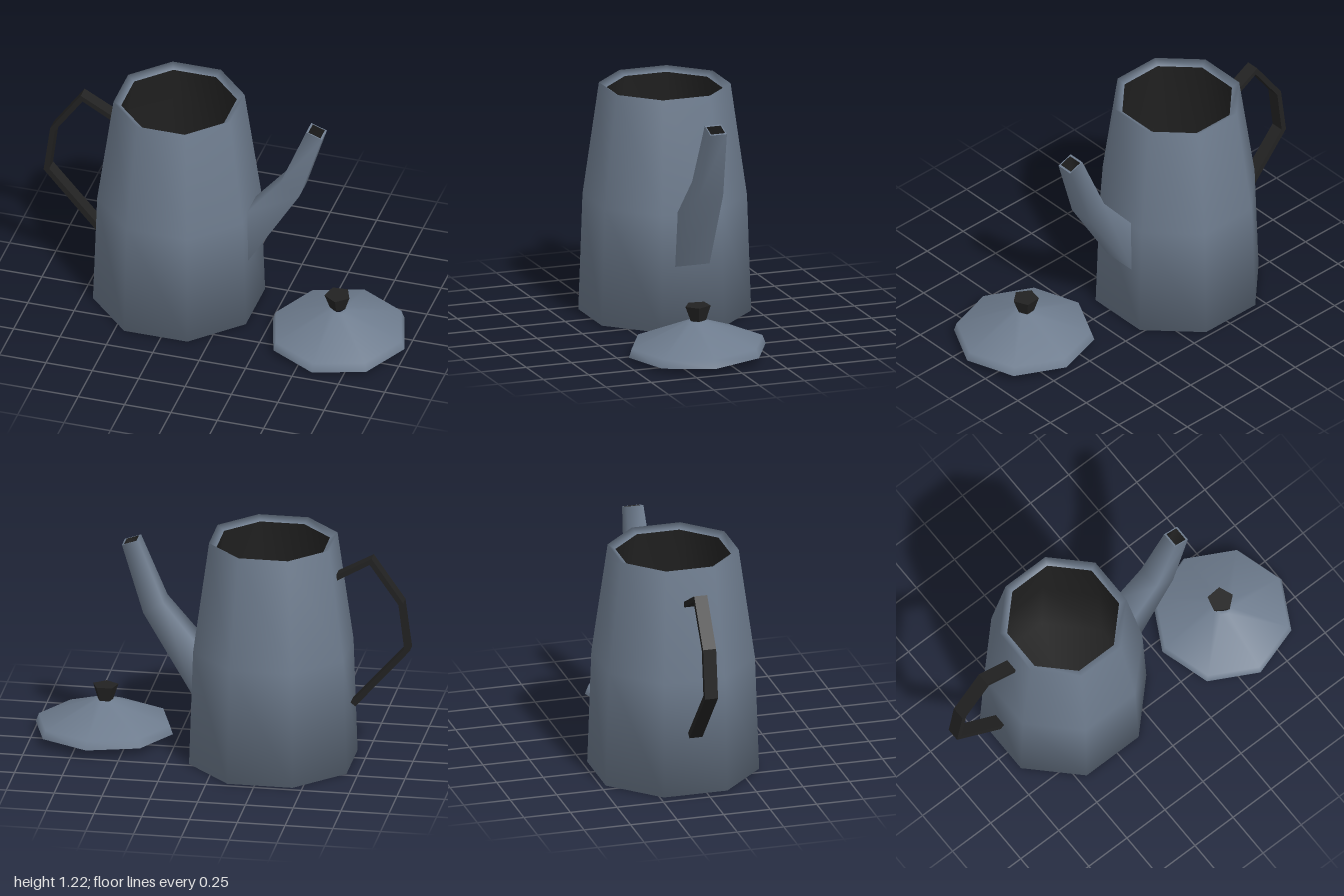
import * as THREE from 'three';

const steel = new THREE.MeshStandardMaterial({ color: 0x6e7c8e });
const steelShell = new THREE.MeshStandardMaterial({ color: 0x6e7c8e, side: THREE.DoubleSide });
const black = new THREE.MeshStandardMaterial({ color: 0x222222 });
const blackFlat = new THREE.MeshStandardMaterial({ color: 0x222222, flatShading: true });

const AXIS_X = -0.279, AXIS_Z = -0.06;

function addMesh(parent, name, geometry, material) {
  const mesh = new THREE.Mesh(geometry, material);
  mesh.name = name;
  parent.add(mesh);
  return mesh;
}

// Eight-sided turned surface with soft normals
function octagon(profile, phiStart) {
  const points = profile.map(([r, y]) => new THREE.Vector2(r, y));
  return new THREE.LatheGeometry(points, 8, phiStart);
}

// Skin over four-cornered sections, optionally closed at the last one.
// Each section is: lower x, y, half width, then upper x, y, half width
function loft(sections, closed) {
  const pos = [], index = [];
  for (const [lx, ly, lw, ux, uy, uw] of sections) {
    pos.push(lx, ly, lw, lx, ly, -lw, ux, uy, -uw, ux, uy, uw);
  }
  for (let i = 0; i < sections.length - 1; i++) {
    for (let j = 0; j < 4; j++) {
      const a = i * 4 + j, b = i * 4 + (j + 1) % 4;
      index.push(a, b, b + 4, a, b + 4, a + 4);
    }
  }
  if (closed) {
    const e = (sections.length - 1) * 4;
    index.push(e, e + 1, e + 2, e, e + 2, e + 3);
  }
  const g = new THREE.BufferGeometry();
  g.setAttribute('position', new THREE.Float32BufferAttribute(pos, 3));
  g.setIndex(index);
  g.computeVertexNormals();
  return g;
}

export function createModel() {
  const model = new THREE.Group();
  model.name = 'coffeePot';

  // Hollow body with a rim sloping inwards: radii are given to the flats, then scaled to the corners
  const k = 1 / Math.cos(Math.PI / 8);
  const wall = [[0, 0], [0.412, 0], [0.392, 0.62], [0.314, 1.215], [0.277, 1.19]];
  const lining = [[0.277, 1.19], [0.355, 0.62], [0.375, 0.04], [0, 0.04]];
  for (const [name, profile, material] of [['body', wall, steel], ['bodyLining', lining, black]]) {
    const mesh = addMesh(model, name, octagon(profile.map(([r, y]) => [r * k, y]), Math.PI / 8), material);
    mesh.position.set(AXIS_X, 0, AXIS_Z);
  }

  // Tapered spout with a thin rim and a dark bore
  const spout = new THREE.Group();
  spout.name = 'spout';
  spout.position.z = -0.06;
  model.add(spout);
  const tip = [0.505, 1.14, 0.045, 0.42, 1.17, 0.045];
  const mouth = [0.495, 1.1435, 0.039, 0.43, 1.1665, 0.039];
  addMesh(spout, 'spoutWall', loft([
    [0.12, 0.34, 0.095, 0.11, 0.63, 0.077],
    [0.39, 0.78, 0.068, 0.285, 0.84, 0.063],
    tip,
  ], false), steel);
  addMesh(spout, 'spoutRim', loft([tip, mouth], false), steel);
  addMesh(spout, 'spoutBore', loft([mouth, [0.38, 0.81, 0.055, 0.305, 0.845, 0.055]], true), black);

  // Angular handle cut from a flat bar
  const outline = [
    [-0.61, 1.043], [-0.8, 1.147], [-0.965, 0.912], [-1, 0.65], [-0.714, 0.324],
    [-0.69, 0.345], [-0.97, 0.66], [-0.94, 0.9], [-0.79, 1.113], [-0.61, 1.01],
  ].map(([x, y]) => new THREE.Vector2(x, y));
  const handle = addMesh(model, 'handle', new THREE.ExtrudeGeometry(
    new THREE.Shape(outline), { depth: 0.07, bevelEnabled: false }), blackFlat);
  handle.position.z = -0.1;

  // Lid lying beside the pot, slightly tilted
  const lid = new THREE.Group();
  lid.name = 'lid';
  lid.position.set(0.633, 0.037, 0.107);
  lid.rotation.x = 0.034;
  model.add(lid);
  addMesh(lid, 'lidShell', octagon([[0.366, 0], [0.35, 0.045], [0.05, 0.16], [0.03, 0.16]], -0.095), steelShell);
  const knob = addMesh(lid, 'lidKnob', new THREE.CylinderGeometry(0.069, 0.042, 0.079, 5, 1, false, 0.07), blackFlat);
  knob.position.set(-0.006, 0.2005, -0.012);

  return model;
}
